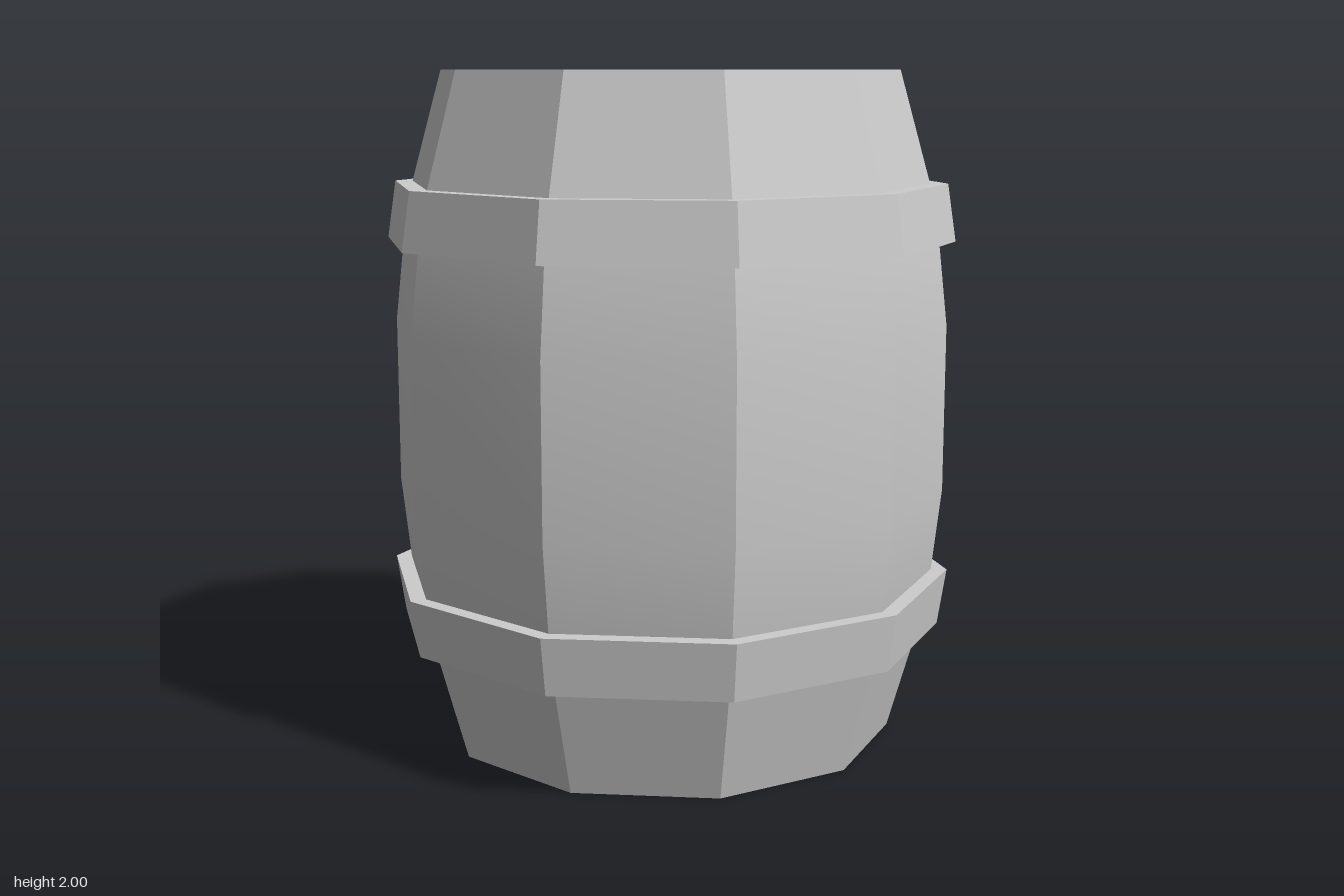
import * as THREE from 'three';
import { toCreasedNormals } from 'three/addons/utils/BufferGeometryUtils.js';

const SIDES = 10;
const TURN = THREE.MathUtils.degToRad(23.2);

const greyWood = new THREE.MeshStandardMaterial({ color: 0xcccccc });
greyWood.name = 'grey wood';

// Ten-sided turned part; profile is [radius, height], listed so that faces point outward
function turned(name, profile) {
  const points = profile.map(([r, y]) => new THREE.Vector2(r, y));
  const lathe = new THREE.LatheGeometry(points, SIDES, TURN);
  const mesh = new THREE.Mesh(toCreasedNormals(lathe, THREE.MathUtils.degToRad(30)), greyWood);
  mesh.name = name;
  return mesh;
}

// Mirror a profile from the lower half to the upper half
const flip = (profile) => profile.map(([r, y]) => [r, 2 - y]).reverse();

export function createModel() {
  const barrel = new THREE.Group();
  barrel.name = 'barrel';

  // Bulging staves between the hoops
  barrel.add(turned('staves', [
    [0.775, 0.33], [0.806, 0.5], [0.834, 0.75], [0.834, 1.25], [0.806, 1.5], [0.775, 1.67],
  ]));

  const head = [[0, 0.085], [0.545, 0.085]];
  const rim = [[0.545, 0.085], [0.545, 0], [0.682, 0]];
  const end = [[0.682, 0], [0.775, 0.33]];
  const hoop = [[0.775, 0.33], [0.828, 0.33], [0.854, 0.5], [0.806, 0.5]];

  // Recessed head, rim, tapered end and hoop at the bottom and the top
  for (const [side, place] of [['lower', (p) => p], ['upper', flip]]) {
    barrel.add(
      turned(`${side}Head`, place(head)),
      turned(`${side}Rim`, place(rim)),
      turned(`${side}Staves`, place(end)),
      turned(`${side}Hoop`, place(hoop)),
    );
  }
  return barrel;
}
